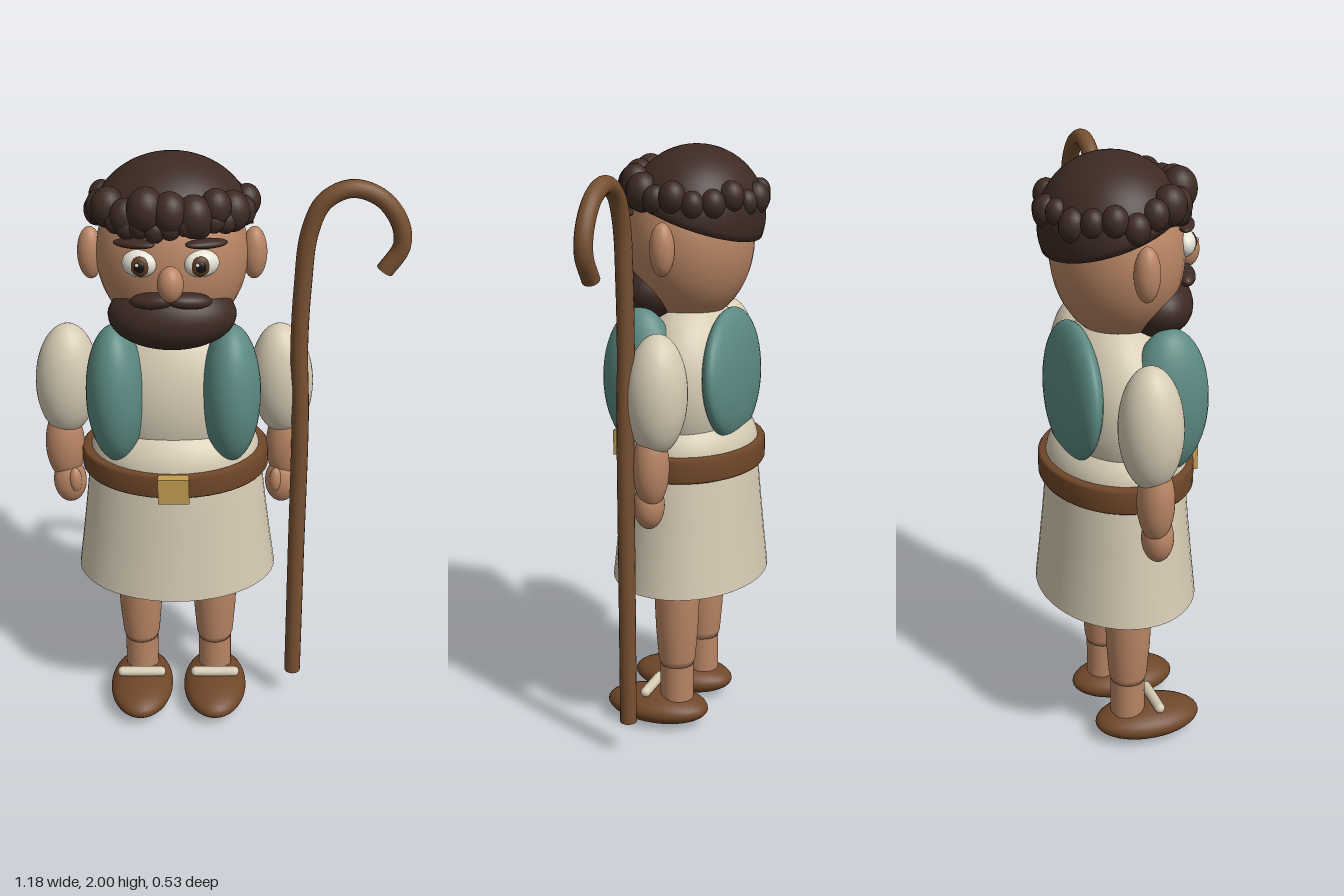
import * as THREE from 'three';

const mat = (name, color) => {
  const m = new THREE.MeshStandardMaterial({ color });
  m.name = name;
  return m;
};

export function createModel() {
  const skin = mat('skin', 0xb98564);
  const hair = mat('dark hair', 0x3d2a23);
  const cream = mat('cream cloth', 0xd6cbb4);
  const teal = mat('teal vest', 0x5c8a83);
  const leather = mat('belt leather', 0x704729);
  const wood = mat('staff wood', 0x775031);
  const gold = mat('buckle gold', 0xc39c50);
  const white = mat('eye white', 0xe6e3d6);
  const black = mat('pupil black', 0x15100e);
  const iris = mat('iris brown', 0x5a3a24);
  cream.side = THREE.DoubleSide;

  const model = new THREE.Group();
  const figure = new THREE.Group();
  figure.name = 'figure';
  figure.position.x = -0.142;
  model.add(figure);

  const add = (name, geo, material, p = [0, 0, 0], r = [0, 0, 0], s = [1, 1, 1], parent = figure) => {
    const mesh = new THREE.Mesh(geo, material);
    mesh.name = name;
    mesh.position.set(...p);
    mesh.rotation.set(...r);
    mesh.scale.set(...s);
    parent.add(mesh);
    return mesh;
  };
  const ball = new THREE.SphereGeometry(1, 36, 24);
  const smallBall = new THREE.SphereGeometry(1, 20, 14);
  const blob = (name, material, p, s, r) => add(name, ball, material, p, r, s);
  const lathe = (pts) => new THREE.LatheGeometry(pts.map(([x, y]) => new THREE.Vector2(x, y)), 48);

  // Head, nose, beard and moustache
  blob('head', skin, [0, 1.69, 0], [0.237, 0.27, 0.206]);
  blob('nose', skin, [0, 1.675, 0.228], [0.04, 0.056, 0.042]);
  blob('beard', hair, [0, 1.528, 0.105], [0.2, 0.11, 0.128]);

  // Tilted hair cap, lower at the back, closed underneath
  const capProfile = [[0, 0]];
  for (let i = 0; i <= 16; i++) {
    const a = (i / 16) * Math.PI / 2;
    capProfile.push([Math.cos(a), Math.sin(a)]);
  }
  add('hairCap', lathe(capProfile), hair, [0, 1.775, -0.018], [-0.35, 0, 0], [0.252, 0.223, 0.225]);

  // Ring of curls around the head
  for (let i = 0; i < 20; i++) {
    const a = (i / 20) * Math.PI * 2;
    const front = Math.max(0, Math.cos(a));
    const r = 0.04 + 0.014 * front + 0.005 * Math.sin(i * 2.7);
    const y = 1.835 + 0.045 * front + 0.015 * Math.sin(i * 4.1);
    add('curl', smallBall, hair, [0.23 * Math.sin(a), y, -0.02 + 0.2 * Math.cos(a)],
      [0, a, 0], [r, r * 1.2, r]);
  }
  // Small fringe over the forehead
  for (let i = -4; i <= 4; i++) {
    const a = i * 0.2;
    add('fringeCurl', smallBall, hair,
      [0.23 * Math.sin(a), 1.838 + 0.01 * (i % 2), 0.19 * Math.cos(a)], [0, a, 0], [0.034, 0.038, 0.032]);
  }

  // Torso, belly and flared skirt
  blob('torso', cream, [0, 1.21, -0.01], [0.265, 0.3, 0.19]);
  blob('belly', cream, [0, 1.0, 0], [0.28, 0.175, 0.225]);
  add('skirt', lathe([[0.338, 0.545], [0.322, 0.66], [0.304, 0.8], [0.288, 0.94], [0.275, 1.01]]),
    cream, [0, 0, -0.004], [0, 0, 0], [1, 1, 0.765]);

  // Belt with buckle
  add('belt', lathe([[0.26, 0.937], [0.302, 0.937], [0.31, 0.947], [0.31, 1.01], [0.302, 1.02], [0.26, 1.02]]),
    leather, [0, 0, -0.003], [0, 0, 0], [1, 1, 0.79]);
  add('buckle', new THREE.BoxGeometry(0.1, 0.088, 0.035), gold, [0, 0.979, 0.25]);

  // Vest back panel
  blob('vestBack', teal, [0, 1.25, -0.148], [0.25, 0.22, 0.062], [0.06, 0, 0]);

  // Leg tapering to the ankle
  const legGeo = lathe([[0.045, 0.75], [0.068, 0.66], [0.077, 0.56], [0.078, 0.48], [0.073, 0.36],
    [0.064, 0.25], [0.058, 0.228], [0, 0.228]].reverse());
  const ankleGeo = new THREE.CylinderGeometry(0.058, 0.058, 0.16, 28);
  const strapGeo = new THREE.CapsuleGeometry(0.018, 0.136, 6, 14);

  // Everything that comes in pairs
  for (const s of [-1, 1]) {
    blob('ear', skin, [s * 0.255, 1.69, 0.005], [0.04, 0.085, 0.04]);
    blob('eye', white, [s * 0.093, 1.725, 0.184], [0.054, 0.042, 0.034], [0, s * 0.25, 0]);
    blob('iris', iris, [s * 0.09, 1.725, 0.209], [0.029, 0.031, 0.013], [0, s * 0.12, 0]);
    blob('pupil', black, [s * 0.09, 1.725, 0.217], [0.017, 0.018, 0.008]);
    blob('eyeGlint', white, [s * 0.09 - 0.009, 1.734, 0.224], [0.006, 0.006, 0.004]);
    blob('eyebrow', hair, [s * 0.108, 1.787, 0.182], [0.068, 0.014, 0.026], [0, s * 0.4, s * -0.06]);
    blob('moustache', hair, [s * 0.055, 1.612, 0.203], [0.072, 0.025, 0.033], [0, s * 0.25, s * -0.12]);

    blob('vestFront', teal, [s * 0.183, 1.252, 0.108], [0.096, 0.236, 0.128]);
    blob('sleeve', cream, [s * 0.35, 1.245, -0.012], [0.102, 0.195, 0.1], [0, 0, s * 0.06]);
    blob('forearm', skin, [s * 0.367, 1.01, 0], [0.065, 0.135, 0.058]);
    blob('hand', skin, [s * 0.356, 0.878, 0.012], [0.055, 0.08, 0.05]);
    blob('thumb', skin, [s * 0.335, 0.895, 0.045], [0.022, 0.045, 0.022]);

    add('leg', legGeo, skin, [s * 0.131, 0, 0]);
    add('ankle', ankleGeo, skin, [s * 0.131, 0.16, 0]);
    blob('shoe', leather, [s * 0.131, 0.058, 0.072], [0.111, 0.058, 0.184]);
    add('shoeStrap', strapGeo, cream, [s * 0.131, 0.126, 0.092], [0, 0, Math.PI / 2]);
  }

  // Crook staff: a tube along a hooked path, with end caps
  const path = new THREE.CatmullRomCurve3([
    [0.267, 0.12], [0.267, 0.6], [0.267, 1.15], [0.257, 1.4], [0.262, 1.6], [0.278, 1.78],
    [0.32, 1.878], [0.4, 1.918], [0.49, 1.888], [0.55, 1.81], [0.56, 1.735], [0.512, 1.655],
  ].map(([x, y]) => new THREE.Vector3(x, y, 0.07)));
  const staff = new THREE.Group();
  staff.name = 'staff';
  model.add(staff);
  add('staffShaft', new THREE.TubeGeometry(path, 120, 0.028, 16), wood, [0, 0, 0], [0, 0, 0], [1, 1, 1], staff);
  for (const t of [0, 1]) {
    const cap = add('staffEnd', new THREE.CircleGeometry(0.028, 16), wood,
      path.getPoint(t).toArray(), [0, 0, 0], [1, 1, 1], staff);
    const out = path.getTangent(t).multiplyScalar(t ? 1 : -1);
    cap.quaternion.setFromUnitVectors(new THREE.Vector3(0, 0, 1), out);
  }
  return model;
}
